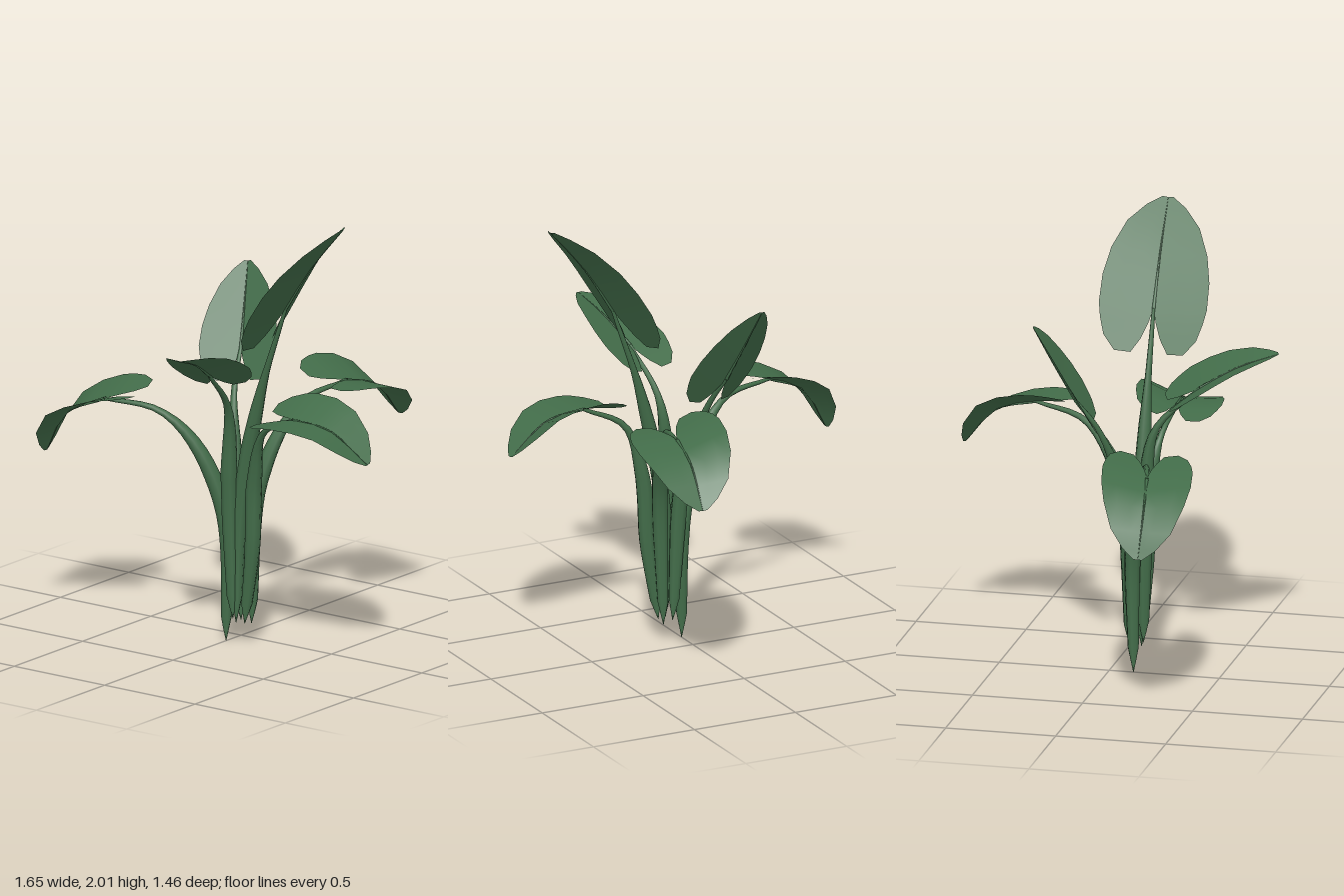
import * as THREE from 'three';

const green = new THREE.MeshStandardMaterial({ color: 0x426c49, side: THREE.DoubleSide });
green.name = 'leafGreen';

const V = (p) => new THREE.Vector3(...p);
const curveThrough = (points) => new THREE.CatmullRomCurve3(points, false, 'centripetal');

// Piecewise-linear lookup in [[t, value], ...]
function lookup(table, t) {
  const i = Math.max(1, table.findIndex(([end]) => t <= end));
  const [t0, a] = table[i - 1], [t1, b] = table[i];
  return a + ((b - a) * (t - t0)) / (t1 - t0);
}

// Tube whose radius follows a table along its length
function taperedTube(curve, segments, sides, radii) {
  const geo = new THREE.TubeGeometry(curve, segments, 1, sides);
  const pos = geo.attributes.position, p = new THREE.Vector3();
  for (let i = 0; i <= segments; i++) {
    const c = curve.getPointAt(i / segments), r = lookup(radii, i / segments);
    for (let j = 0; j <= sides; j++) {
      const k = i * (sides + 1) + j;
      p.fromBufferAttribute(pos, k).sub(c).multiplyScalar(r).add(c);
      pos.setXYZ(k, p.x, p.y, p.z);
    }
  }
  return geo;
}

// Heart-shaped blade outline: [position along blade, inner edge, outer edge]
const OUTLINE = [
  [0, 0.34, 0.64], [0.09, 0.18, 0.86], [0.19, 0.07, 0.95], [0.28, 0, 1],
  [0.45, 0, 0.99], [0.62, 0, 0.89], [0.8, 0, 0.67], [0.93, 0, 0.36], [1, 0, 0.1],
];
const COLS = 3, FOLD = 0.22;

// Half a blade, swept along the rib and folded up towards its edge
function bladeHalf(rib, sideDir, sign, width, taper) {
  const pos = [], index = [];
  OUTLINE.forEach(([s, inner, outer], i) => {
    const c = rib.getPointAt(s), t = rib.getTangentAt(s);
    const side = sideDir.clone().addScaledVector(t, -sideDir.dot(t)).normalize();
    const up = new THREE.Vector3().crossVectors(t, side);
    if (up.y < 0) up.negate();
    const edge = outer * (1 - taper * Math.max(0, s - 0.3));
    for (let j = 0; j <= COLS; j++) {
      const w = (inner + ((edge - inner) * j) / COLS) * width;
      const p = c.clone().addScaledVector(side, sign * w).addScaledVector(up, FOLD * w);
      pos.push(p.x, p.y, p.z);
      if (i && j) {
        const d = i * (COLS + 1) + j, a = d - COLS - 2;
        index.push(a, a + 1, d, a, d, d - 1);
      }
    }
  });
  const geo = new THREE.BufferGeometry();
  geo.setAttribute('position', new THREE.Float32BufferAttribute(pos, 3));
  geo.setIndex(index);
  geo.computeVertexNormals();
  return geo;
}

const STEM_RADII = [[0, 0.001], [0.08, 0.025], [0.35, 0.036], [0.55, 0.037], [0.66, 0.03], [0.8, 0.015], [1, 0.008]];
const RIB_RADII = [[0, 0.008], [0.3, 0.005], [1, 0.001]];

// One leaf: stem points lead to the notch, the rib goes on over mid to the tip
function makeLeaf(name, width, taper, tilt, stemPoints, ribPoints) {
  const [notch, mid, tip] = ribPoints.map(V);
  const leaf = new THREE.Group();
  leaf.name = name;
  const add = (part, geo) => {
    const mesh = new THREE.Mesh(geo, green);
    mesh.name = part;
    leaf.add(mesh);
  };
  add('stem', taperedTube(curveThrough([...stemPoints.map(V), notch]), 24, 8, STEM_RADII));
  add('midrib', taperedTube(curveThrough([notch, mid, tip]), 10, 5, RIB_RADII));

  // The lobes continue the bend of the rib backwards past the notch
  const near = mid.clone().sub(notch), far = tip.clone().sub(mid);
  const back = near.clone().multiplyScalar(1.5).addScaledVector(far, -0.5);
  const lobeEnd = notch.clone().addScaledVector(back, -0.78);
  const rib = curveThrough([lobeEnd, notch, mid, tip]);

  // The blade spreads level across the rib, then tilts
  const side = new THREE.Vector3(notch.z - tip.z, 0, tip.x - notch.x).normalize();
  side.y = tilt;
  add('bladeLeft', bladeHalf(rib, side, 1, width, taper));
  add('bladeRight', bladeHalf(rib, side, -1, width, taper));
  return leaf;
}

export function createModel() {
  const plant = new THREE.Group();
  plant.name = 'plant';
  plant.add(
    makeLeaf('tallLeaf', 0.24, 0, -0.22,
      [[0.07, 0.1, 0.13], [0.09, 0.65, 0.12], [0.2, 1.18, 0.12]],
      [[0.335, 1.58, 0.12], [0.48, 1.8, 0.115], [0.65, 2, 0.11]]),
    makeLeaf('backRightLeaf', 0.185, 0.2, 0.5,
      [[0.06, 0.1, 0.08], [0.01, 0.81, 0.06], [-0.06, 1.12, -0.03]],
      [[-0.1, 1.27, -0.13], [-0.145, 1.44, -0.215], [-0.19, 1.62, -0.3]]),
    makeLeaf('rightLeaf', 0.2, 0, 0.1,
      [[0, 0, 0.11], [-0.01, 0.58, 0.11], [-0.13, 0.9, 0.17], [-0.28, 1.04, 0.235]],
      [[-0.53, 1.065, 0.3], [-0.72, 0.97, 0.33], [-0.825, 0.785, 0.33]]),
    makeLeaf('frontLeaf', 0.182, 0.3, -0.12,
      [[0.06, 0.12, 0.14], [0.05, 0.75, 0.155], [0.07, 1.1, 0.19]],
      [[0.115, 1.3, 0.385], [0.16, 1.395, 0.55], [0.2, 1.455, 0.72]]),
    makeLeaf('leftLeaf', 0.195, 0.1, -0.2,
      [[0.11, 0.1, 0.12], [0.16, 0.45, 0.13], [0.18, 0.78, 0.14], [0.25, 1.01, 0.17]],
      [[0.44, 1.11, 0.2], [0.63, 1.09, 0.185], [0.82, 0.96, 0.16]]),
    makeLeaf('backLeaf', 0.205, 0, -0.2,
      [[0.11, 0.09, 0.07], [0.14, 0.75, 0.045], [0.215, 1.07, -0.15]],
      [[0.28, 1.13, -0.4], [0.305, 1.07, -0.59], [0.32, 0.91, -0.73]]),
  );
  return plant;
}
